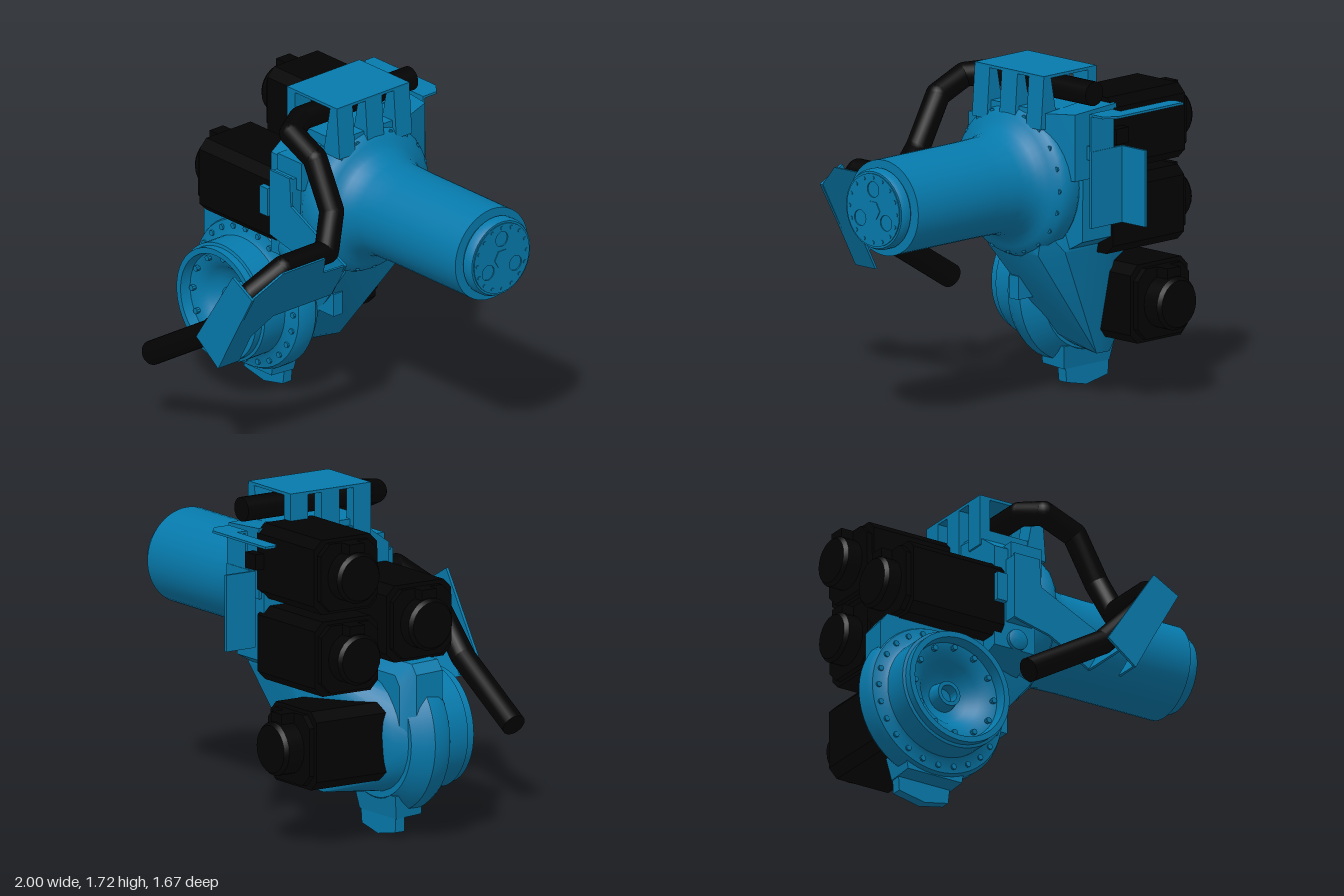
import * as THREE from 'three';
import { toCreasedNormals } from 'three/addons/utils/BufferGeometryUtils.js';
import { ConvexGeometry } from 'three/addons/geometries/ConvexGeometry.js';

const blue = new THREE.MeshStandardMaterial({ color: 0x067aac });
const black = new THREE.MeshStandardMaterial({ color: 0x030303 });
const V = (x, y, z) => new THREE.Vector3(x, y, z);

export function createModel() {
  const root = new THREE.Group();
  const add = (name, geo, mat = blue, parent = root) => {
    const m = new THREE.Mesh(toCreasedNormals(geo, 0.6), mat);
    m.name = name;
    parent.add(m);
    return m;
  };
  const group = (name) => {
    const g = new THREE.Group();
    g.name = name;
    root.add(g);
    return g;
  };
  // Box given by its limits on each axis
  const box = (name, x0, x1, y0, y1, z0, z1, mat, parent) => {
    const g = new THREE.BoxGeometry(x1 - x0, y1 - y0, z1 - z0);
    return add(name, g.translate((x0 + x1) / 2, (y0 + y1) / 2, (z0 + z1) / 2), mat, parent);
  };
  // Profile of [radius, position] turned around an x or z axis
  const turned = (name, profile, axis, x, y, z, mat, parent, sides = 40) => {
    const g = new THREE.LatheGeometry(profile.map(p => new THREE.Vector2(...p)), sides);
    if (axis === 'x') g.rotateZ(-Math.PI / 2);
    if (axis === 'z') g.rotateX(Math.PI / 2);
    return add(name, g.translate(x, y, z), mat, parent);
  };
  const shapeOf = (pts) => new THREE.Shape(pts.map(p => new THREE.Vector2(...p)));
  const slab = (shape, depth) => new THREE.ExtrudeGeometry(shape, { depth, bevelEnabled: false, curveSegments: 16 });
  const hull = (name, pts, mat, parent) => add(name, new ConvexGeometry(pts), mat, parent);
  const ring = (n, fn) => Array.from({ length: n }, (_, i) => fn(Math.cos(i / n * 2 * Math.PI), Math.sin(i / n * 2 * Math.PI)));

  // Arm tube with its large flange
  const AY = 1.153, AZ = -0.217;
  turned('armTube', [[0, -.3], [.3, -.3], [.33, -.26], [.33, -.14], [.36, -.1], [.385, -.06], [.385, .01],
    [.37, .04], [.33, .07], [.3, .085], [.28, .11], [.262, .14], [.247, .2], [.243, .35], [.243, .92], [.19, .92],
    [.19, .935], [.205, .937], [.205, .97], [.195, .99], [0, .99]], 'x', 0, AY, AZ);
  const flangeBolts = group('flangeBolts');
  ring(20, (c, s) => turned('flangeBolt', [[0, 0], [.014, 0], [.014, .04], [0, .04]], 'x', .01, AY + .355 * s, AZ + .355 * c, blue, flangeBolts, 8));
  // Wrist end plate with three openings
  const face = new THREE.Shape().absarc(0, 0, .185, 0, Math.PI * 2);
  for (const a of [90, 210, 330]) {
    const h = new THREE.Path().absarc(.105 * Math.cos(a * Math.PI / 180), .105 * Math.sin(a * Math.PI / 180), .04, 0, Math.PI * 2, true);
    face.holes.push(h);
  }
  add('wristPlate', slab(face, .012).rotateY(Math.PI / 2).translate(.984, AY, AZ));
  turned('wristHub', [[0, 0], [.05, 0], [.05, .005], [0, .005]], 'x', .995, AY, AZ, blue, root, 6);
  const wristBolts = group('wristBolts');
  ring(16, (c, s) => turned('wristBolt', [[0, 0], [.01, 0], [.01, .01], [0, .01]], 'x', .99, AY + .165 * s, AZ + .165 * c, blue, wristBolts, 8));

  // Gear housing behind the flange
  hull('gearHousing', [-.32, -.08].flatMap(x => [[1.4, .14], [1.5, .0], [1.53, -.3], [1.53, -.58], [1.48, -.62],
    [.88, -.61], [.82, -.5], [.8, -.02], [.86, .14]].map(([y, z]) => V(x, y, z))));
  hull('rearShoulder', [V(-.3, 1.56, -.63), V(-.3, 1.2, -.63), V(-.02, 1.54, -.62), V(-.02, 1.2, -.62), V(-.3, 1.56, -.46), V(.03, 1.53, -.46), V(-.3, 1.2, -.4), V(.04, 1.2, -.4)]);
  box('frontPadUpper', -.24, -.06, 1.28, 1.43, .1, .17);
  box('frontPadMiddle', -.25, -.1, 1.0, 1.34, .1, .2);
  box('cableBlock', -.34, -.28, 1.08, 1.23, .1, .2);
  turned('frontPlug', [[0, 0], [.055, 0], [.055, .1], [.035, .11], [0, .11]], 'z', -.19, .91, .06, blue, root, 20);

  // Neck joining the housing to the base joint, with a wall beside the base motor
  const JX = -.6, JY = .51;
  hull('neck', [
    ...ring(24, (c, s) => V(JX + .32 * c, JY + .29 * s, -.11)),
    ...ring(24, (c, s) => V(JX + .25 * c, JY + .28 * s, -.2)),
    V(-.5, .22, -.13), V(-.5, .225, -.38), V(-.4, .23, -.39), V(-.35, .4, -.42), V(-.45, .6, -.46),
    V(-.22, .52, -.08), V(-.22, .52, -.3), V(.02, .8, -.05), V(.04, .8, -.42), V(.04, .95, -.05), V(.04, .95, -.45),
    V(-.36, .85, .05), V(-.36, .82, -.52), V(-.05, .82, -.52), V(-.36, .95, -.53)]);
  hull('neckShoulder', [[-.17, .07], [-.11, .01], [.04, 0]].flatMap(([z, inset]) =>
    [[-.93 + inset, .45], [-.93 + inset, .87 - inset], [-.89 + inset, .92 - inset], [-.25, .92 - inset], [-.25, .6]].map(([x, y]) => V(x, y, z))));
  box('neckTab', -.24, -.1, .51, .63, -.14, -.08);

  // Base joint: stepped disc with a dished face
  turned('baseJoint', [[0, -.14], [.32, -.14], [.37, -.09], [.4, -.05], [.4, .02], [.385, .05], [.33, .06], [.31, .075], [.31, .21],
    [.295, .215], [.295, .255], [.265, .255], [.255, .2], [.21, .19], [.17, .16], [.13, .11], [.075, .09], [.065, .16],
    [.045, .16], [.045, .1], [0, .1]], 'z', JX, JY, 0, blue, root, 48);
  const baseBolts = group('baseBolts');
  ring(24, (c, s) => turned('baseBolt', [[0, 0], [.015, 0], [.015, .025], [0, .025]], 'z', JX + .352 * c, JY + .352 * s, .04, blue, baseBolts, 8));
  ring(12, (c, s) => turned('innerBolt', [[0, 0], [.015, 0], [.015, .03], [0, .03]], 'z', JX + .232 * c, JY + .232 * s, .185, blue, baseBolts, 8));
  add('stopFoot', slab(shapeOf([[-.76, .2], [-.75, .03], [-.6, 0], [-.46, .03], [-.44, .2]]), .055).translate(0, 0, -.12));
  hull('stopFootRoot', [V(-.78, .24, .03), V(-.42, .24, .03), V(-.76, .11, .03), V(-.44, .11, .03), V(-.76, .1, -.12), V(-.44, .1, -.12), V(-.78, .22, -.14), V(-.42, .22, -.14)]);

  // Motors: chamfered body, stepped end cap, connector
  const motor = (name, half, length, cap, place) => {
    const g = group(name);
    const k = half * .76, s = half;
    const oct = (h, c) => shapeOf([[-c, -h], [c, -h], [h, -c], [h, c], [c, h], [-c, h], [-h, c], [-h, -c]]);
    add('motorBody', slab(oct(s, k), length), black, g);
    add('motorCollar', slab(oct(s * .9, k * .8), .03), black, g).position.z = length;
    turned('motorCap', [[0, 0], [s * .68, 0], [s * .68, cap - .02], [s * .6, cap], [0, cap]], 'z', 0, 0, length, black, g, 24);
    box('motorConnector', -.045, .045, s * .4, s * .9, length - .02, length + cap * .75, black, g);
    place(g);
  };
  const alongX = (y, z) => (g) => { g.position.set(-.28, y, z); g.rotation.y = -Math.PI / 2; };
  motor('topMotor', .19, .5, .13, alongX(1.392, -.44));
  motor('frontMotor', .195, .54, .12, alongX(1.11, -.025));
  motor('rearMotor', .19, .5, .13, alongX(.975, -.435));
  motor('baseMotor', .2, .45, .14, (g) => { g.position.set(JX, JY, -.18); g.rotation.y = Math.PI; });

  // Hose guide on top: cover plate on cast ribs
  const guide = group('hoseGuide');
  box('coverPlate', -.33, .04, 1.705, 1.72, -.46, .025, blue, guide);
  for (const [z0, z1] of [[-.08, .025], [-.275, -.165], [-.46, -.355]]) {
    box('outerRib', -.33, -.27, 1.45, 1.71, z0, z1, blue, guide);
    hull('innerRib', [z0, z1].flatMap(z => [V(-.01, 1.71, z), V(.04, 1.71, z), V(.04, 1.62, z), V(-.06, 1.45, z), V(.06, 1.45, z)]), blue, guide);
  }
  box('guideFloor', -.3, .03, 1.48, 1.54, -.46, .02, blue, guide);

  // Hose made of straight runs with round joints
  const hose = group('hose');
  const path = [V(-.145, 1.63, -.63), V(-.145, 1.63, .1), V(-.08, 1.605, .22), V(.1, 1.53, .225), V(.23, 1.29, .23), V(.28, 1.11, .31),
    V(.28, 1.11, .6), V(.21, .99, .75), V(-.08, .69, .757), V(-.52, .425, .757)];
  path.slice(1).forEach((b, i) => {
    const a = path[i], d = b.clone().sub(a);
    const run = add('hoseRun', new THREE.CylinderGeometry(.062, .062, d.length(), 20), black, hose);
    run.position.copy(a).addScaledVector(d, .5);
    run.quaternion.setFromUnitVectors(V(0, 1, 0), d.normalize());
    if (i) add('hoseJoint', new THREE.SphereGeometry(.062, 20, 12), black, hose).position.copy(a);
  });

  // Hose bracket: sloped side plate with a front and a rear flange
  const bracket = group('hoseBracket');
  const side = slab(shapeOf([[-.84, .56], [-.7, .56], [-.7, .72], [-.6, .82], [-.21, .82], [-.21, 1.01], [-.36, 1.02],
    [-.4, 1.13], [-.68, 1.13], [-.84, 1.0]]), .015).rotateY(Math.PI / 2);
  const p = side.attributes.position;
  for (let i = 0; i < p.count; i++) p.setX(i, p.getX(i) + .05 + (p.getY(i) - .56) * .54);
  add('sidePlate', side, blue, bracket);
  add('frontFlange', slab(shapeOf([[.06, .56], [.315, 1.01], [.17, 1.09], [-.1, .68]]), .015).translate(0, 0, .825), blue, bracket);
  add('rearFlange', slab(shapeOf([[-.25, 1.0], [-.04, .95], [.2, .82], [.31, 1.01], [.16, 1.08], [-.09, 1.2], [-.1, 1.35], [-.25, 1.35]]), .015).translate(0, 0, .2), blue, bracket);

  // Rear cable brackets
  const rear = group('rearBracket');
  box('sideFin', -.31, -.295, .96, 1.35, -.835, -.66, blue, rear);
  box('finBack', -.31, -.08, .96, 1.35, -.675, -.66, blue, rear);
  box('finMount', -.24, -.1, 1.3, 1.37, -.67, -.58, blue, rear);
  add('cableShelf', slab(shapeOf([[-.6, -.8], [-.14, -.8], [-.08, -.75], [-.08, -.66], [-.24, -.66], [-.24, -.72], [-.58, -.72], [-.6, -.74]]), .012)
    .rotateX(Math.PI / 2).translate(0, 1.542, 0), blue, rear);
  box('shelfUpright', -.24, -.08, 1.34, 1.54, -.672, -.66, blue, rear);
  box('cableClip', -.34, -.25, 1.36, 1.44, -.68, -.6, black, rear);
  return root;
}
